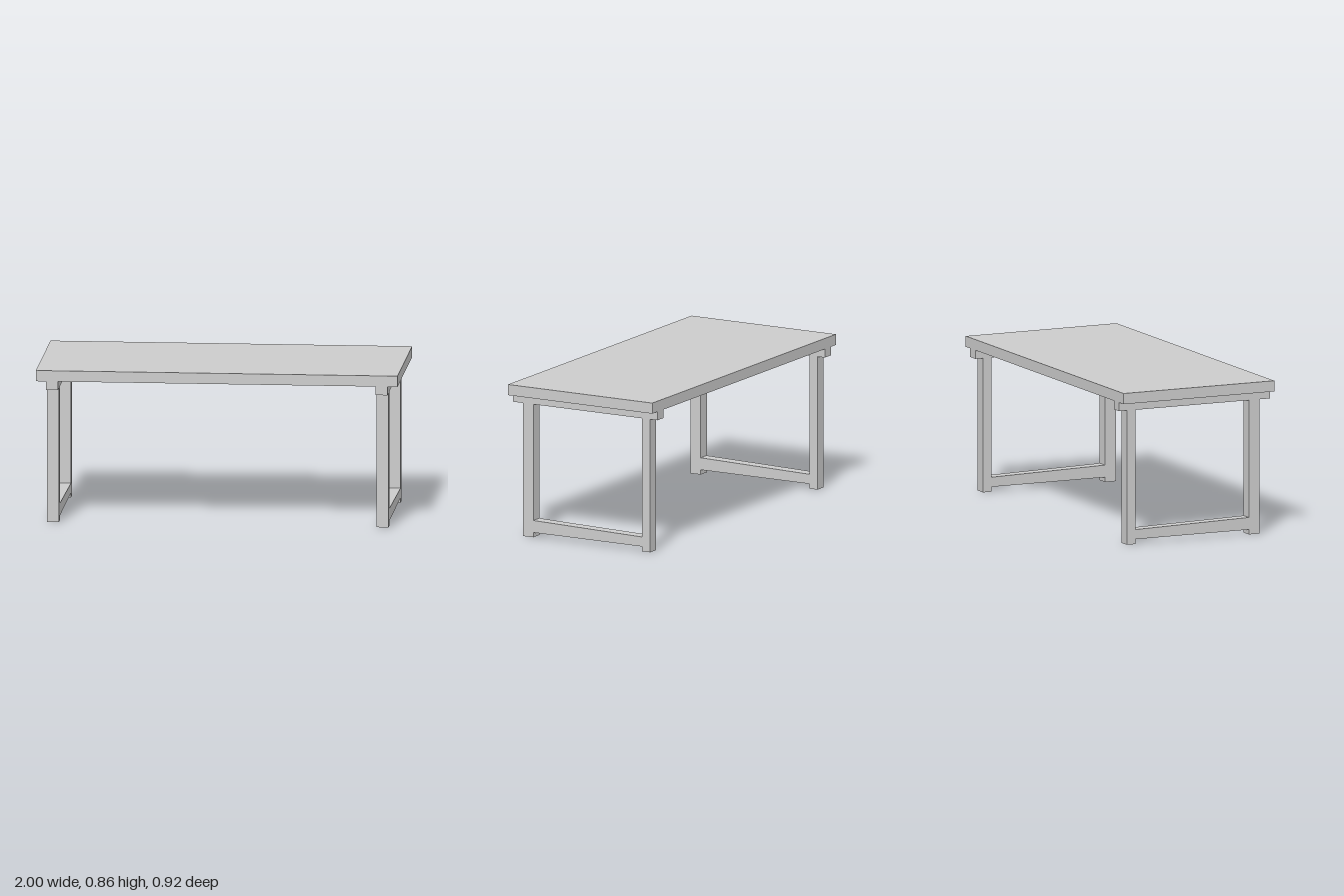
import * as THREE from 'three';

export function createModel() {
  const group = new THREE.Group();
  const material = new THREE.MeshStandardMaterial({ color: 0xcccccc, flatShading: true });

  // Table top slab
  const top = new THREE.Mesh(new THREE.BoxGeometry(2, 0.06, 0.922), material);
  top.name = 'tableTop';
  top.position.y = 0.829;
  group.add(top);

  // Closed leg frame drawn in the (z, y) plane: top rail, two legs and a tapered stretcher
  const points = (list) => list.map(([z, y]) => new THREE.Vector2(z, y));
  const outline = new THREE.Shape(points([
    [0.398, 0], [0.398, 0.751], [0.461, 0.751], [0.461, 0.799],
    [-0.461, 0.799], [-0.461, 0.751], [-0.414, 0.751], [-0.414, 0],
    [-0.363, 0], [-0.363, 0.027], [0.332, 0.027], [0.332, 0],
  ]));
  outline.holes.push(new THREE.Path(points([
    [0.332, 0.095], [0.332, 0.751], [-0.363, 0.751], [-0.363, 0.081],
  ])));
  const width = 0.067;
  const frame = new THREE.ExtrudeGeometry(outline, { depth: width, bevelEnabled: false });
  frame.translate(0, 0, -width / 2);
  frame.rotateY(-Math.PI / 2);

  // One frame near each end
  for (const side of [1, -1]) {
    const mesh = new THREE.Mesh(frame, material);
    mesh.name = side > 0 ? 'leftLegFrame' : 'rightLegFrame';
    mesh.position.x = side * 0.911;
    group.add(mesh);
  }
  return group;
}
